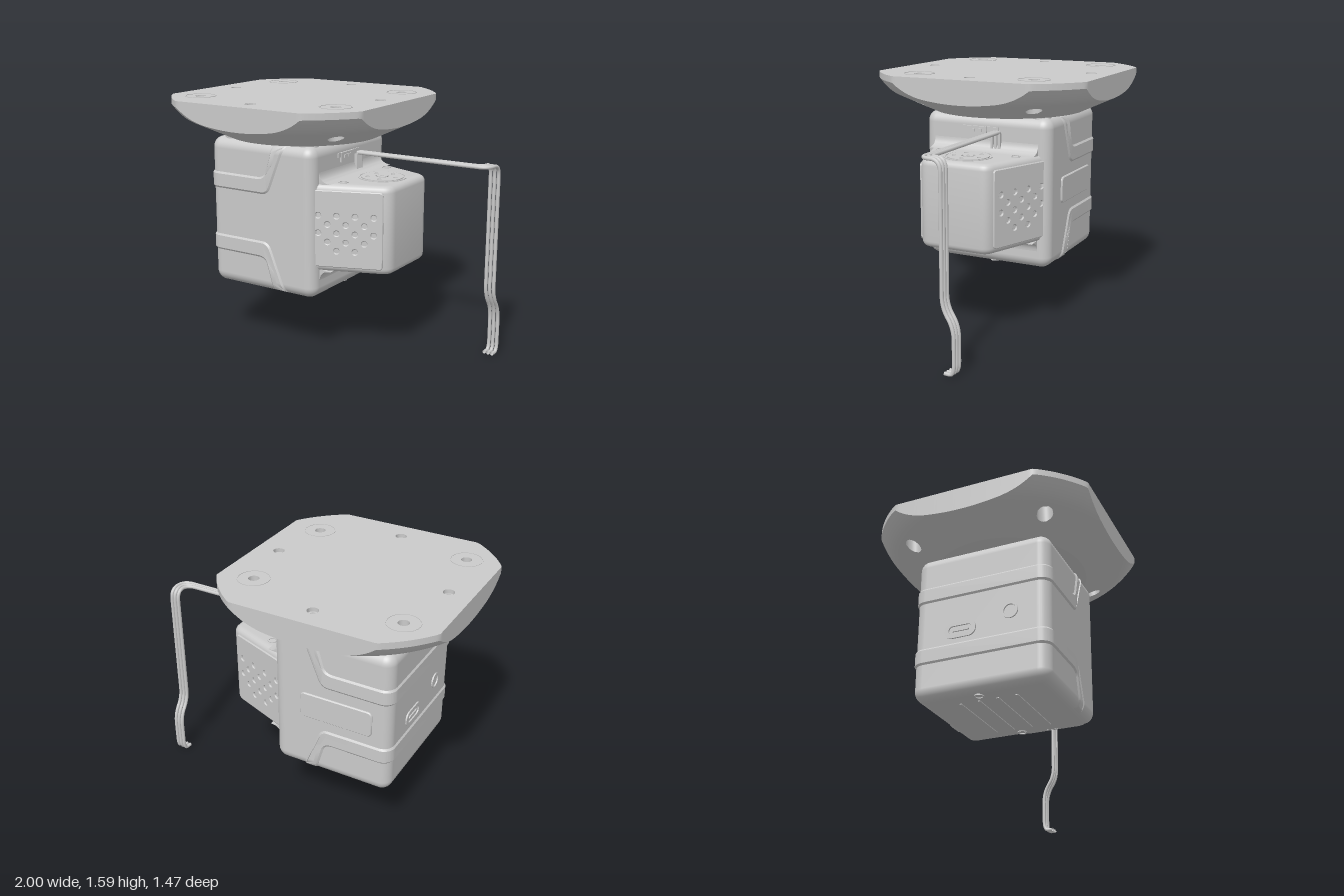
import * as THREE from 'three';
import { toCreasedNormals } from 'three/addons/utils/BufferGeometryUtils.js';
import { RoundedBoxGeometry } from 'three/addons/geometries/RoundedBoxGeometry.js';

const shell = new THREE.MeshStandardMaterial({ color: 0xcacaca, side: THREE.DoubleSide });
shell.name = 'shell grey';

function add(parent, name, geometry, x = 0, y = 0, z = 0) {
  const mesh = new THREE.Mesh(geometry, shell);
  mesh.name = name;
  mesh.position.set(x, y, z);
  parent.add(mesh);
  return mesh;
}

const crease = (g) => toCreasedNormals(g, 0.6);
const circlePath = (x, y, r) => new THREE.Path().absarc(x, y, r, 0, Math.PI * 2, true);
const lathe = (pts) => new THREE.LatheGeometry(pts.map((p) => new THREE.Vector2(...p)), 24);

function roundedRect(w, h, r, cx = 0, cy = 0) {
  const s = new THREE.Shape();
  const x = w / 2 - r, y = h / 2 - r;
  s.absarc(cx + x, cy + y, r, 0, Math.PI / 2);
  s.absarc(cx - x, cy + y, r, Math.PI / 2, Math.PI);
  s.absarc(cx - x, cy - y, r, Math.PI, Math.PI * 1.5);
  s.absarc(cx + x, cy - y, r, Math.PI * 1.5, Math.PI * 2);
  return s;
}

function disc(r, holes = []) {
  const s = new THREE.Shape().absarc(0, 0, r, 0, Math.PI * 2);
  for (const h of holes) s.holes.push(circlePath(...h));
  return s;
}

// Extrusion centred on z, with an optional bevel kept inside the outline
function through(shape, depth, bevel = 0, run = bevel) {
  const core = depth - 2 * bevel;
  const g = new THREE.ExtrudeGeometry(shape, {
    depth: core, curveSegments: 10, bevelEnabled: bevel > 0,
    bevelThickness: bevel, bevelSize: run, bevelOffset: -run, bevelSegments: 1,
  });
  return g.translate(0, 0, -core / 2);
}

// Mounting plate: a square cut by a circle, with a conical underside curling up at the rim
const TOP = 1.585, BASE = 1.335, INNER = 0.49, STEPS = 220;
const coneY = (r) => BASE + 0.46 * (r - INNER) + 5 * Math.max(0, r - 0.74) ** 2;
const boltHoles = [[-0.488, 0.443], [-0.488, -0.443], [0.49, 0.39], [0.49, -0.39]];
const pinHoles = [[0.56, 0], [-0.56, 0], [0, 0.56], [0, -0.56]];

function rim(i) {
  const a = (i / STEPS) * Math.PI * 2;
  const r = Math.min(0.84, 0.705 / Math.max(Math.abs(Math.cos(a)), Math.abs(Math.sin(a))));
  return [r * Math.cos(a), r * Math.sin(a), r];
}

function gridGeometry(rows, cols, point, keep = () => true) {
  const pos = [], index = [];
  for (let i = 0; i <= cols; i++) for (let j = 0; j <= rows; j++) pos.push(...point(i, j));
  for (let i = 0; i < cols; i++) for (let j = 0; j < rows; j++) {
    const a = i * (rows + 1) + j, b = a + rows + 1;
    if (keep([a, b, a + 1, b + 1])) index.push(a, b, a + 1, b, b + 1, a + 1);
  }
  const g = new THREE.BufferGeometry();
  g.setAttribute('position', new THREE.Float32BufferAttribute(pos, 3));
  g.setIndex(index.reverse());
  g.computeVertexNormals();
  return g;
}

function buildPlate(parent) {
  const plate = new THREE.Group();
  plate.name = 'mountingPlate';
  parent.add(plate);

  const outline = new THREE.Shape(Array.from({ length: STEPS }, (_, i) => new THREE.Vector2(...rim(i))));
  for (const [x, z] of boltHoles) outline.holes.push(circlePath(x, -z, 0.033));
  for (const [x, z] of pinHoles) outline.holes.push(circlePath(x, -z, 0.035));
  add(plate, 'plateTop', new THREE.ShapeGeometry(outline, 12).rotateX(-Math.PI / 2), 0, TOP);

  const wall = gridGeometry(1, STEPS, (i, j) => {
    const [x, z, r] = rim(i);
    return [x, j ? TOP : coneY(r), z];
  });
  add(plate, 'plateEdge', crease(wall));

  // Cone grid: points inside a bolt hole are pushed out to its edge
  const inside = [], rows = 16;
  const cone = gridGeometry(rows, STEPS, (i, j) => {
    let [x, z, R] = rim(i);
    const k = (INNER + ((R - INNER) * j) / rows) / R;
    x *= k; z *= k;
    let hit = false;
    for (const [hx, hz] of boltHoles) {
      const d = Math.hypot(x - hx, z - hz);
      if (d < 0.05) {
        hit = true;
        const f = 0.05 / Math.max(d, 1e-4);
        x = hx + (x - hx) * f;
        z = hz + (z - hz) * f;
      }
    }
    inside.push(hit);
    return [x, coneY(Math.hypot(x, z)), z];
  }, (quad) => !quad.every((v) => inside[v]));
  add(plate, 'plateCone', cone);
  add(plate, 'plateBase', new THREE.CircleGeometry(INNER, STEPS).rotateX(Math.PI / 2), 0, BASE);

  // Stepped bolt bores, trimmed to the cone, each inside a fine ring
  for (const [x, z] of boltHoles) {
    const g = lathe([[0.033, TOP], [0.033, 1.5], [0.05, 1.5], [0.05, 0]]).translate(x, 0, z);
    const p = g.attributes.position;
    for (let i = 0; i < p.count; i++) if (p.getY(i) < 1) p.setY(i, coneY(Math.hypot(p.getX(i), p.getZ(i))));
    add(plate, 'boltBore', crease(g));
    const ring = through(disc(0.099, [[0, 0, 0.094]]), 0.006).rotateX(-Math.PI / 2);
    add(plate, 'boltRing', ring, x, TOP, z);
  }
  for (const [x, z] of pinHoles)
    add(plate, 'pinHole', crease(lathe([[0.035, TOP], [0.035, 1.56], [0.022, 1.56], [0.022, 1.5], [0, 1.5]])), x, 0, z);
}

function buildBody(parent) {
  const body = new THREE.Group();
  body.name = 'body';
  parent.add(body);
  add(body, 'bodyShell', new RoundedBoxGeometry(0.785, 0.955, 0.87, 5, 0.07), -0.042, 0.8575);

  // Raised bands: wrapped around the -x end, then turning over the top and bottom edges
  for (const m of [(y) => y, (y) => 1.715 - y]) {
    const arm = new THREE.Shape();
    const rise = [1.27, 1.285, 1.3, 1.315, 1.328];
    arm.moveTo(-0.35, m(1.01));
    arm.lineTo(-0.03, m(1.01));
    arm.quadraticCurveTo(0.02, m(1.01), 0.04, m(1.06));
    for (const y of rise) arm.lineTo(0.04 + (y - 1.06) * 0.41, m(y));
    for (const y of rise.reverse()) arm.lineTo(0.005 + (y - 1.16) * 0.29, m(y));
    arm.lineTo(0.005, m(1.16));
    arm.quadraticCurveTo(-0.005, m(1.115), -0.06, m(1.115));
    arm.lineTo(-0.35, m(1.115));
    const g = through(arm, 0.888, 0.009, 0.012);
    const p = g.attributes.position;
    for (let i = 0; i < p.count; i++) {
      const over = THREE.MathUtils.clamp(Math.abs(p.getY(i) - 0.8575) - 0.4075, 0, 0.07);
      p.setZ(i, p.getZ(i) - Math.sign(p.getZ(i)) * (0.07 - Math.sqrt(0.0049 - over * over)));
    }
    add(body, 'bandArm', crease(g));
    const wrap = through(roundedRect(0.2, 0.888, 0.075), 0.105, 0.012, 0.009).rotateX(Math.PI / 2);
    add(body, 'bandWrap', crease(wrap), -0.343, m(1.0625));
  }

  // Back label panel, charging port and button rim
  add(body, 'backPanel', crease(through(roundedRect(0.48, 0.17, 0.03), 0.022, 0.006)), -0.08, 0.855, -0.435);
  const port = roundedRect(0.2, 0.1, 0.045);
  port.holes.push(roundedRect(0.15, 0.055, 0.026));
  const tongue = roundedRect(0.11, 0.016, 0.007);
  const button = disc(0.05, [[0, 0, 0.04]]);
  add(body, 'portRim', through(port, 0.018).rotateY(Math.PI / 2), -0.4345, 0.785, -0.12);
  add(body, 'portTongue', through(tongue, 0.016).rotateY(Math.PI / 2), -0.4345, 0.785, -0.12);
  add(body, 'buttonRim', through(button, 0.018).rotateY(Math.PI / 2), -0.4345, 0.845, 0.2);

  // Corner bosses above, ribs and screw rims below
  for (const x of [-0.3, 0.25]) for (const z of [-0.33, 0.33])
    add(body, 'cornerBoss', new THREE.CylinderGeometry(0.07, 0.07, 0.045, 24), x, 1.318, z);
  for (const x of [-0.35, 0.27])
    add(body, 'baseScrewRim', through(disc(0.03, [[0, 0, 0.022]]), 0.012).rotateX(Math.PI / 2), x, 0.38, -0.03);
  for (let i = 0; i < 4; i++)
    add(body, 'baseRib', new THREE.BoxGeometry(0.5, 0.008, 0.014), -0.04, 0.379, (i - 1.5) * 0.12);
}

function buildHead(parent) {
  const head = new THREE.Group();
  head.name = 'head';
  parent.add(head);

  // Tapered block flowing out of the body sides
  const s = new THREE.Shape();
  s.moveTo(0.13, -0.432);
  s.quadraticCurveTo(0.22, -0.432, 0.3, -0.402);
  s.lineTo(0.715, -0.248);
  s.quadraticCurveTo(0.775, -0.226, 0.775, -0.17);
  s.lineTo(0.775, 0.17);
  s.quadraticCurveTo(0.775, 0.226, 0.715, 0.248);
  s.lineTo(0.3, 0.402);
  s.quadraticCurveTo(0.22, 0.432, 0.13, 0.432);
  const block = new THREE.ExtrudeGeometry(s, {
    depth: 0.47, bevelThickness: 0.04, bevelSize: 0.04, bevelOffset: -0.04, bevelSegments: 5, curveSegments: 8,
  });
  add(head, 'headBlock', crease(block.rotateX(-Math.PI / 2)), 0, 0.6);

  // Perforated plates on both slanted sides
  const lean = Math.atan(0.37), stretch = 1 / Math.cos(lean);
  for (const side of [1, -1]) {
    const plate = roundedRect(0.46, 0.48, 0.02, side * 0.23, 0.835);
    for (let row = 0; row < 5; row++) {
      const cols = [[0, 1, 2, 3], [0.5, 1.5, 2.5], [0, 1, 2, 3], [0.5, 1.5, 2.5], [1, 2]][row];
      for (const c of cols)
        plate.holes.push(circlePath(side * (0.057 + c * 0.107) * stretch, 0.92 - row * 0.055, 0.016));
    }
    const vent = add(head, 'ventPlate', crease(through(plate, 0.018, 0.005)), 0.3, 0, side * 0.402);
    vent.rotation.y = side > 0 ? lean : Math.PI - lean;
  }

  // Fillets to the body, round speaker caps and screw rims, above and below
  for (const up of [1, -1]) {
    const m = (y) => 0.835 + up * y;
    const f = new THREE.Shape();
    f.moveTo(0.33, m(0.265));
    f.lineTo(0.43, m(0.275));
    f.quadraticCurveTo(0.352, m(0.275), 0.35, m(0.345));
    f.lineTo(0.33, m(0.345));
    add(head, 'fillet', crease(through(f, 0.72)));

    const flat = (name, shape, h, x, z) =>
      add(head, name, through(shape, h * 2).rotateX(-Math.PI / 2), x, m(0.275), z);
    const holes = Array.from({ length: 5 }, (_, i) => {
      const a = (i / 5) * Math.PI * 2;
      return [0.09 * Math.cos(a), 0.09 * Math.sin(a), 0.014];
    });
    flat('capRim', disc(0.152, [[0, 0, 0.142]]), 0.004, 0.58, 0);
    flat('cap', disc(0.132, [...holes, [0, 0, 0.042]]), 0.006, 0.58, 0);
    flat('capHub', disc(0.034, [[0, 0, 0.012]]), 0.008, 0.58, 0);
    for (const z of [-0.26, 0.26]) flat('headScrewRim', disc(0.03, [[0, 0, 0.022]]), 0.005, 0.46, z);
  }

  // Connector on the body above the head
  add(head, 'connectorSlot', new THREE.BoxGeometry(0.012, 0.03, 0.25), 0.352, 1.245, 0.03);
  add(head, 'connectorSocket', new THREE.BoxGeometry(0.024, 0.06, 0.14), 0.352, 1.23, 0.06);
  for (const z of [0.035, 0.085])
    add(head, 'connectorPin', new THREE.BoxGeometry(0.012, 0.02, 0.035), 0.364, 1.235, z);
  for (let i = 0; i < 3; i++)
    add(head, 'connectorRib', new THREE.BoxGeometry(0.025, 0.12, 0.016), 0.358, 1.165, -0.052 - i * 0.025);
}

// Three parallel wires with rounded bends
function buildWires(parent) {
  for (const o of [-0.027, 0, 0.027]) {
    const x = 0.959 + o;
    const pts = [[0.06, 1.23, -0.105 + o * 0.6], [x, 1.23, -0.17 + o * 0.6], [x, 1.23, -0.286], [x, 0.4, -0.286],
      [x, 0.29, -0.362], [x, 0.013, -0.362], [x, 0.013, -0.3]].map((p) => new THREE.Vector3(...p));
    const path = new THREE.CurvePath();
    let from = pts[0];
    for (let i = 1; i < pts.length - 1; i++) {
      const toward = (q) => pts[i].clone().add(q.clone().sub(pts[i]).setLength(Math.min(0.07, q.distanceTo(pts[i]) * 0.48)));
      const a = toward(pts[i - 1]), b = toward(pts[i + 1]);
      path.add(new THREE.LineCurve3(from, a));
      path.add(new THREE.QuadraticBezierCurve3(a, pts[i], b));
      from = b;
    }
    path.add(new THREE.LineCurve3(from, pts[pts.length - 1]));
    add(parent, 'wire', new THREE.TubeGeometry(path, 200, 0.0115, 10));
  }
}

export function createModel() {
  const model = new THREE.Group();
  model.name = 'ceilingDevice';
  const unit = new THREE.Group();
  unit.name = 'housing';
  unit.position.x = -0.265;
  unit.rotation.y = 0.072;
  model.add(unit);
  buildPlate(unit);
  buildBody(unit);
  buildHead(unit);
  buildWires(model);
  return model;
}
